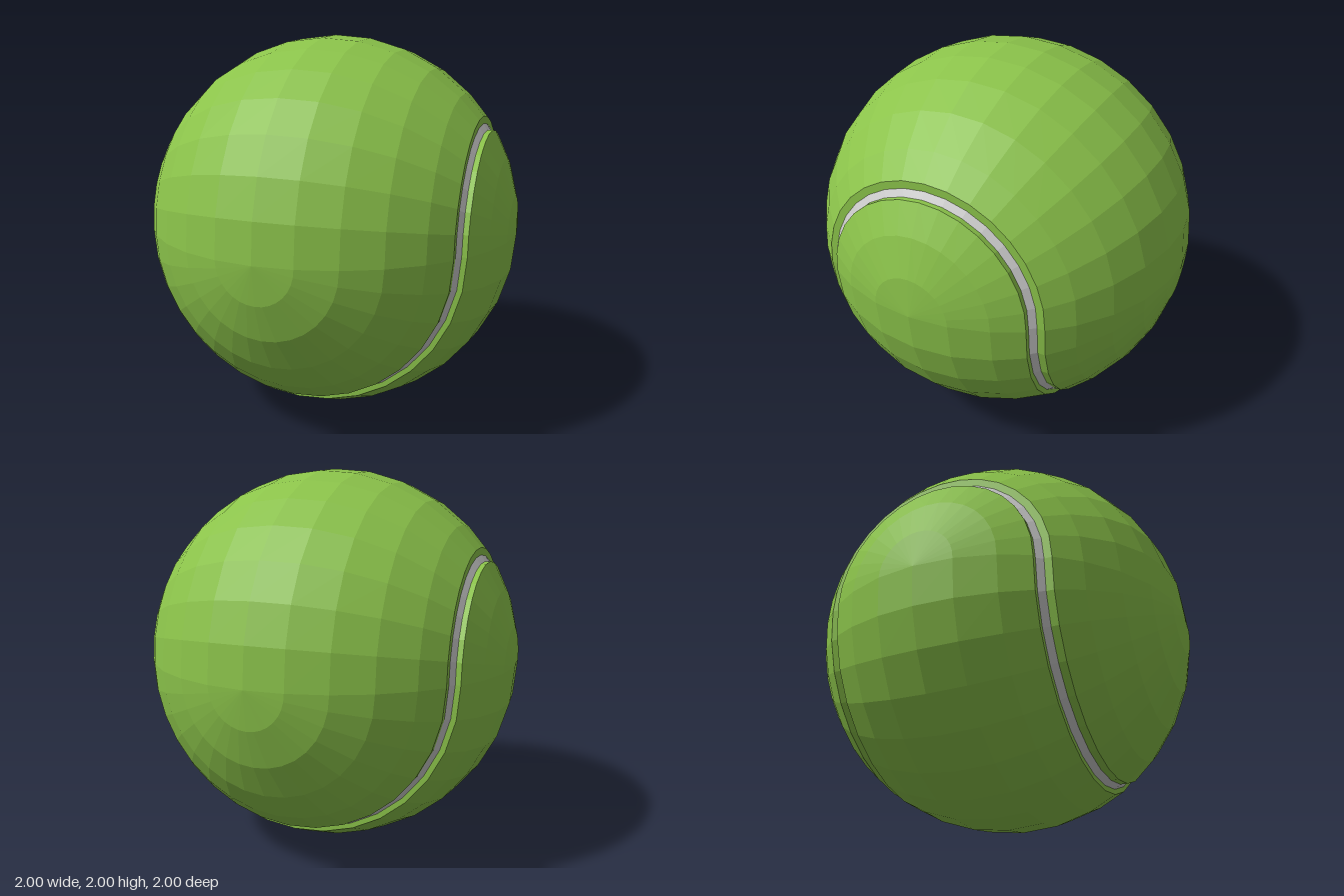
import * as THREE from 'three';
import { mergeGeometries } from 'three/addons/utils/BufferGeometryUtils.js';

const STEP = Math.PI / 16;          // facet angle of the ball
const A = 0.9337, B = 0.5527;       // edge latitudes of the upper band and of the lower band
const DEEP = 0.978;                 // radius of the sunken seam

// Half turns: the upper half spins about x, the lower half about z
const UPPER = new THREE.Matrix4().makeBasis(
  new THREE.Vector3(0, 0, 1), new THREE.Vector3(1, 0, 0), new THREE.Vector3(0, 1, 0));
const LOWER = new THREE.Matrix4().makeRotationX(Math.PI / 2);

// Point at a latitude on the ball, as (distance from axis, position along axis)
const at = (lat, r = 1) => new THREE.Vector2(Math.max(0, r * Math.cos(lat)), r * Math.sin(lat));

// Arc between two latitudes, with points on the regular facet grid
function arc(from, to) {
  const pts = [at(from)];
  for (let i = -8; i <= 8; i++) {
    const lat = i * STEP;
    if (lat > from + 0.01 && lat < to - 0.01) pts.push(at(lat));
  }
  pts.push(at(to));
  return pts;
}

const mirror = (pts) => pts.map((p) => new THREE.Vector2(p.x, -p.y)).reverse();

function halfTurn(pts, matrix) {
  return new THREE.LatheGeometry(pts, 16, -Math.PI / 2, Math.PI).applyMatrix4(matrix);
}

function part(name, color, geometries) {
  const mesh = new THREE.Mesh(mergeGeometries(geometries), new THREE.MeshStandardMaterial({
    color, flatShading: true, side: THREE.DoubleSide }));
  mesh.name = name;
  return mesh;
}

// A band with a short wall down to the seam at both edges
function band(lat, matrix) {
  const edge = at(lat);
  const foot = new THREE.Vector2(Math.sqrt(DEEP ** 2 - edge.y ** 2), edge.y);
  return halfTurn([new THREE.Vector2(foot.x, -foot.y), ...arc(-lat, lat), foot], matrix);
}

// A pair of end caps, each with a wall down to the seam around its rim
function caps(lat, matrix) {
  const rim = at(lat);
  const pts = [new THREE.Vector2(rim.x, Math.sqrt(DEEP ** 2 - rim.x ** 2)), ...arc(lat, Math.PI / 2)];
  return [pts, mirror(pts)].map((p) => halfTurn(p, matrix));
}

// The two seam strips between a band's edges and the caps beyond it
function seams(bandLat, capLat, matrix) {
  const b = at(bandLat), c = at(capLat);
  const pts = [
    new THREE.Vector2(Math.sqrt(DEEP ** 2 - b.y ** 2), b.y),
    new THREE.Vector2(c.x, Math.sqrt(DEEP ** 2 - c.x ** 2))];
  return [pts, mirror(pts)].map((p) => halfTurn(p, matrix));
}

export function createModel() {
  const ball = new THREE.Group();
  ball.name = 'ball';
  const green = 0x8bc34a, right = Math.PI / 2;

  // Panel over the top, ending in caps at front and back
  ball.add(part('upperPanel', green, [band(A, UPPER), ...caps(right - A, LOWER)]));
  // Panel under the bottom, ending in caps at left and right
  ball.add(part('lowerPanel', green, [band(B, LOWER), ...caps(right - B, UPPER)]));
  // Sunken curved seam between the panels
  ball.add(part('seam', 0xcccccc, [...seams(A, right - B, UPPER), ...seams(B, right - A, LOWER)]));

  ball.children.forEach((mesh) => { mesh.position.y = 1; });
  return ball;
}
